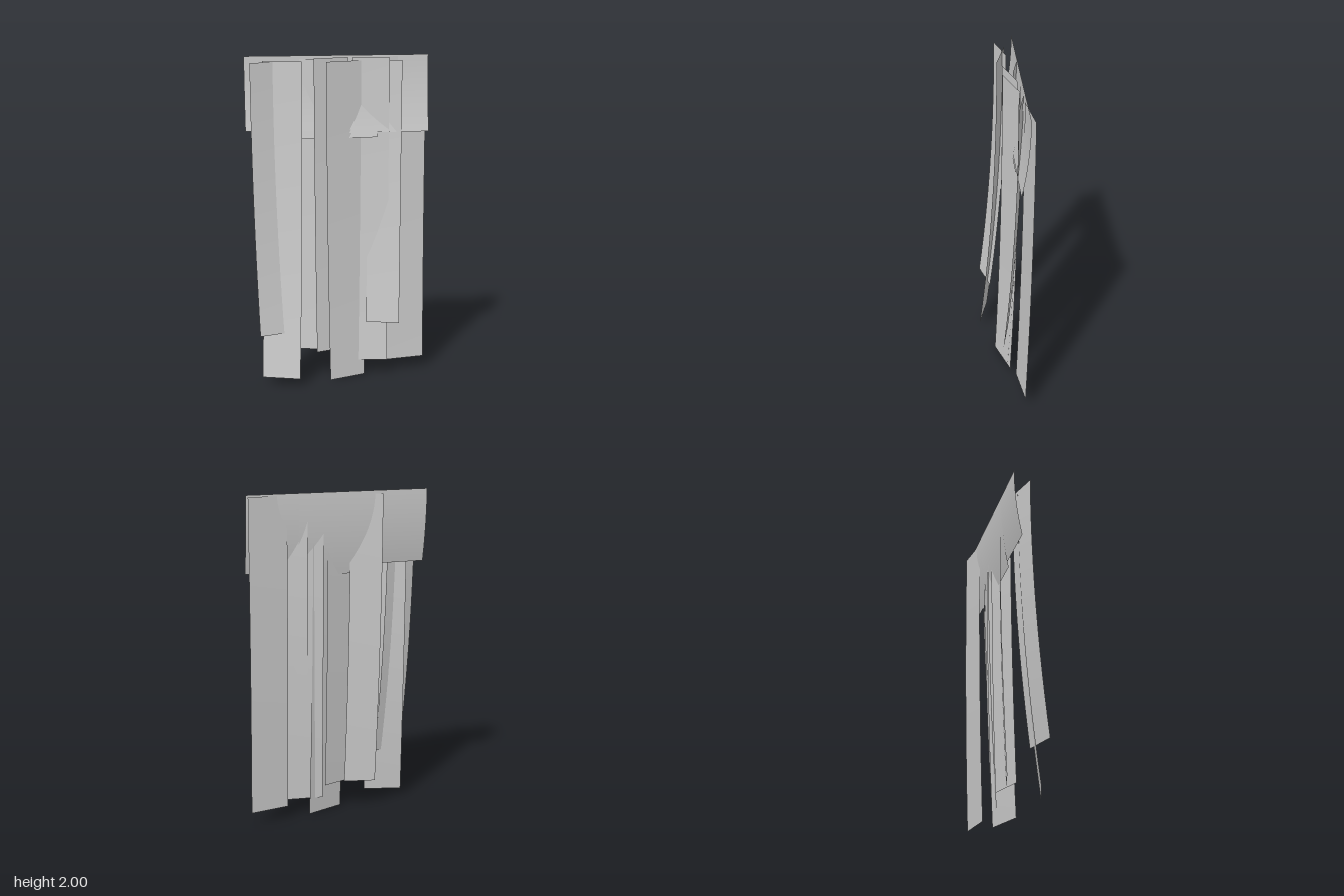
import * as THREE from 'three';

const material = new THREE.MeshStandardMaterial({ color: 0xcccccc, side: THREE.DoubleSide });

// A thin cloth sheet hanging from a top edge [x0, z0, x1, z1].
// It drifts by [dx, dz] at the hem, bending ever more toward the bottom.
function hangingSheet(name, [x0, z0, x1, z1], yTop, yBottom, [dx, dz]) {
  const geometry = new THREE.PlaneGeometry(1, 1, 1, 14);
  const p = geometry.attributes.position;
  for (let i = 0; i < p.count; i++) {
    const s = p.getX(i) + 0.5;
    const t = 0.5 - p.getY(i);
    const bend = t * t;
    p.setXYZ(
      i,
      x0 + (x1 - x0) * s + dx * bend,
      yTop + (yBottom - yTop) * t,
      z0 + (z1 - z0) * s + dz * bend
    );
  }
  geometry.computeVertexNormals();
  const mesh = new THREE.Mesh(geometry, material);
  mesh.name = name;
  return mesh;
}

export function createModel() {
  const model = new THREE.Group();
  model.name = 'hangingClothStrips';

  // Overlapping panels of the short upper band
  const band = new THREE.Group();
  band.name = 'upperBand';
  band.add(
    hangingSheet('bandRightPanel', [-0.555, -0.105, 0.1, -0.105], 2, 1.56, [0, 0.048]),
    hangingSheet('bandMiddlePanel', [-0.25, -0.105, 0.24, -0.105], 1.995, 1.51, [0, 0.05]),
    hangingSheet('bandLeftPanel', [-0.116, -0.105, 0.555, -0.105], 2, 1.54, [0, 0.049])
  );
  model.add(band);

  // Long strips: name, top edge, top height, hem height, drift at the hem
  const strips = [
    ['outerRightStrip', [-0.527, 0.003, -0.33, -0.054], 1.97, 0.33, [0.03, 0.107]],
    ['innerRightStrip', [-0.45, -0.054, -0.224, 0.012], 1.975, 0.05, [-0.034, 0.115]],
    ['rearRightStrip', [-0.273, -0.116, -0.083, -0.07], 1.98, 0.18, [0.016, 0.05]],
    ['middleRightStrip', [-0.15, -0.015, 0.06, -0.082], 1.99, 0.18, [0.008, 0.035]],
    ['middleStrip', [-0.077, -0.009, 0.152, -0.088], 1.97, 0, [0.016, 0.05]],
    ['middleLeftStrip', [0.09, -0.094, 0.312, -0.062], 1.985, 0.1, [-0.008, 0.058]],
    ['shortLeftStrip', [0.19, -0.1, 0.388, -0.055], 1.97, 0.35, [-0.016, 0.079]],
    ['outerLeftStrip', [0.31, -0.096, 0.548, -0.131], 1.99, 0.08, [0.004, 0.036]]
  ];
  for (const strip of strips) model.add(hangingSheet(...strip));

  return model;
}
